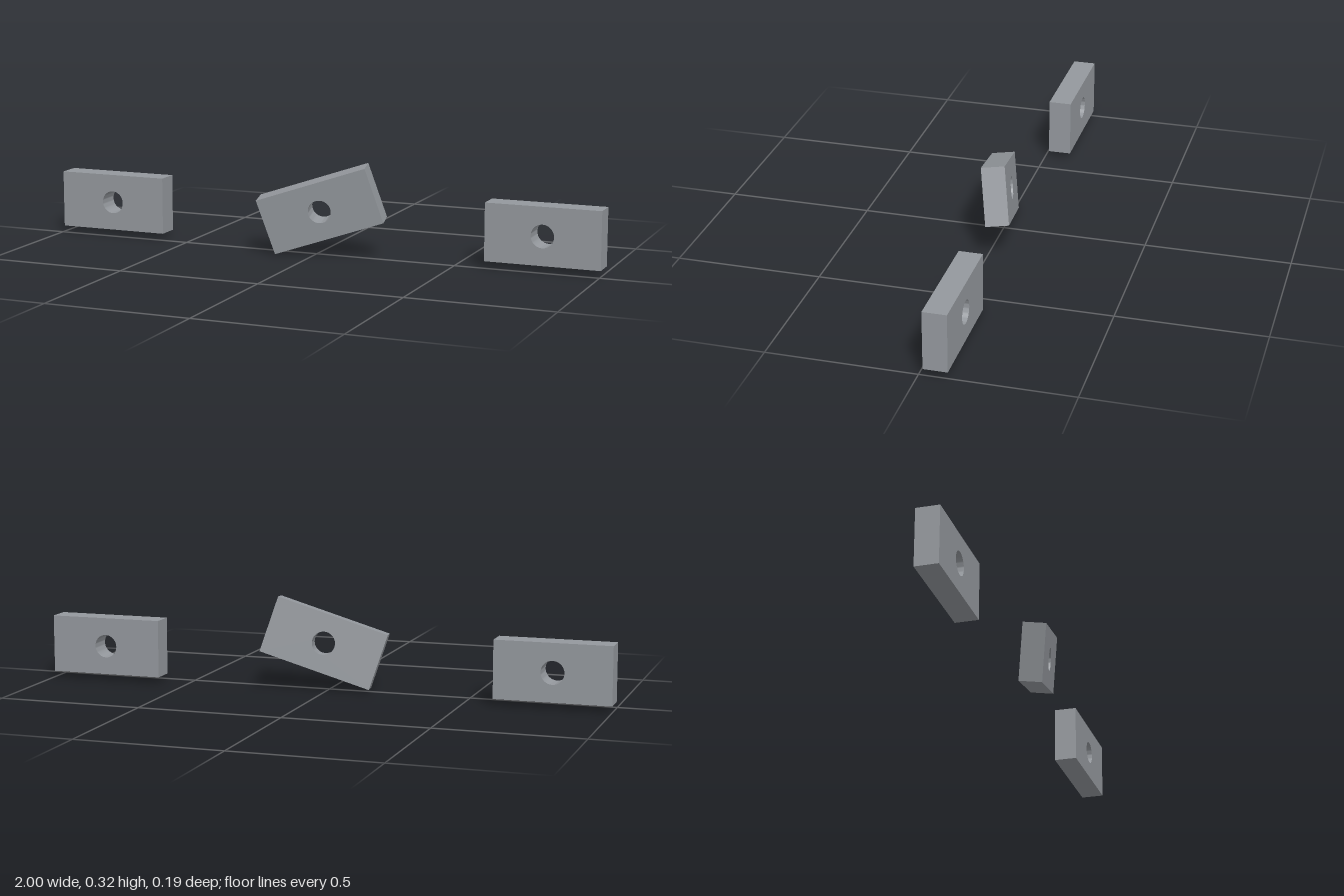
import * as THREE from 'three';
import { toCreasedNormals } from 'three/addons/utils/BufferGeometryUtils.js';

const LENGTH = 0.4, HEIGHT = 0.2, DEPTH = 0.08, HOLE_RADIUS = 0.04;

// Rectangular plate with a round through-hole, centred on its own origin
function plateGeometry() {
  const x = LENGTH / 2, y = HEIGHT / 2;
  const outline = new THREE.Shape([
    new THREE.Vector2(-x, -y), new THREE.Vector2(x, -y),
    new THREE.Vector2(x, y), new THREE.Vector2(-x, y),
  ]);
  outline.holes.push(new THREE.Path().absarc(0, 0, HOLE_RADIUS, 0, Math.PI * 2, true));
  const geometry = new THREE.ExtrudeGeometry(outline, {
    depth: DEPTH, bevelEnabled: false, curveSegments: 24,
  });
  geometry.translate(0, 0, -DEPTH / 2);
  return toCreasedNormals(geometry, Math.PI / 6);
}

export function createModel() {
  const group = new THREE.Group();
  group.name = 'drilledPlates';
  const geometry = plateGeometry();
  const material = new THREE.MeshStandardMaterial({ color: 0x94989d });

  const addPlate = (name, position, rotation = [0, 0, 0]) => {
    const plate = new THREE.Mesh(geometry, material);
    plate.name = name;
    plate.position.set(...position);
    plate.rotation.set(...rotation);
    group.add(plate);
  };

  // Two upright plates at the ends, one tilted about all axes in the middle
  addPlate('rightPlate', [-0.8, 0.121, -0.0533]);
  addPlate('leftPlate', [0.8, 0.121, -0.0533]);
  addPlate('tiltedMiddlePlate', [0.02, 0.161, 0.0067], [0.1, 0.2, 0.3]);

  return group;
}
